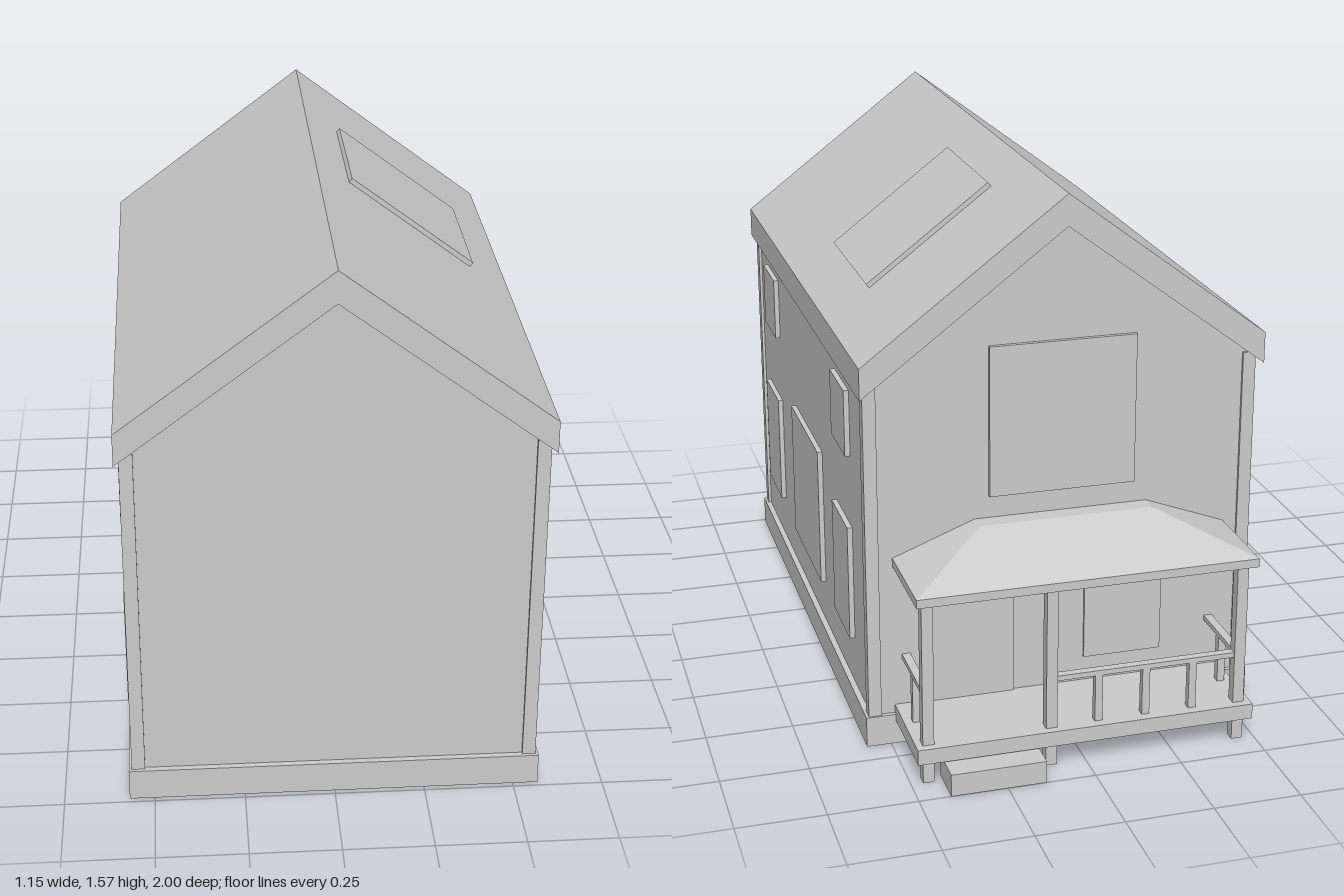
import * as THREE from 'three';
import { ConvexGeometry } from 'three/addons/geometries/ConvexGeometry.js';

export function createModel() {
  const house = new THREE.Group();
  house.name = 'house';
  const mat = new THREE.MeshStandardMaterial({ color: 0xcccccc, flatShading: true });

  function add(name, geo, parent = house) {
    const m = new THREE.Mesh(geo, mat);
    m.name = name;
    parent.add(m);
    return m;
  }
  // Box given by its min and max on each axis
  function box(name, [x0, x1], [y0, y1], [z0, z1], parent = house) {
    const m = add(name, new THREE.BoxGeometry(x1 - x0, y1 - y0, z1 - z0), parent);
    m.position.set((x0 + x1) / 2, (y0 + y1) / 2, (z0 + z1) / 2);
    return m;
  }
  // Outline in x/y pushed along z from z0 to z1
  function prism(name, pts, z0, z1) {
    const shape = new THREE.Shape(pts.map(p => new THREE.Vector2(...p)));
    const m = add(name, new THREE.ExtrudeGeometry(shape, { depth: z1 - z0, bevelEnabled: false }));
    m.position.z = z0;
    return m;
  }
  const span = (s, a, b) => (s > 0 ? [a, b] : [-b, -a]);

  // Foundation skirt, open underneath, with a narrow ledge around the top
  for (const s of [1, -1]) {
    box('foundationSide', span(s, 0.564, 0.57), [0, 0.09], [-0.675, 0.985]);
    box('foundationLedge', span(s, 0.54, 0.57), [0.084, 0.09], [-0.675, 0.985]);
  }
  for (const [z0, z1, l0, l1] of [[0.979, 0.985, 0.95, 0.985], [-0.675, -0.669, -0.675, -0.645]]) {
    box('foundationEnd', [-0.564, 0.564], [0, 0.09], [z0, z1]);
    box('foundationEndLedge', [-0.54, 0.54], [0.084, 0.09], [l0, l1]);
  }

  // Hollow walls: two gables and two sides
  const gable = [[-0.553, 0.09], [0.553, 0.09], [0.553, 1.08], [0, 1.5], [-0.553, 1.08]];
  prism('frontWall', gable, 0.957, 0.967);
  prism('backWall', gable, -0.662, -0.652);
  for (const s of [1, -1]) {
    box('sideWall', span(s, 0.543, 0.553), [0.09, 1.08], [-0.655, 0.96]);
    // Corner boards
    box('frontCornerBoard', span(s, 0.525, 0.562), [0.09, 1.07], [0.94, 0.975]);
    box('backCornerBoard', span(s, 0.525, 0.562), [0.09, 1.07], [-0.67, -0.635]);
    // Side windows as [y range, z range]
    for (const [y, z] of [
      [[0.795, 0.99], [0.63, 0.82]],
      [[0.795, 0.99], [-0.455, -0.265]],
      [[0.235, 0.58], [0.625, 0.845]],
      [[0.235, 0.58], [-0.46, -0.245]],
      [[0.225, 0.65], [-0.04, 0.38]],
    ]) box('sideWindow', span(s, 0.55, 0.568), y, z);
  }

  // Windows and door on the back wall
  box('backUpperWindow', [-0.21, 0.21], [0.72, 1.155], [-0.674, -0.655]);
  box('backLowerWindow', [-0.3, -0.07], [0.19, 0.5], [-0.67, -0.655]);
  box('backDoor', [0.14, 0.39], [0.115, 0.51], [-0.67, -0.655]);

  // Gabled roof slab
  prism('roof', [
    [-0.575, 1.045], [0, 1.48], [0.575, 1.045],
    [0.575, 1.135], [0, 1.57], [-0.575, 1.135],
  ], -0.7, 1);

  // Skylight lying on the right-hand slope
  const skylight = add('skylight', new THREE.BoxGeometry(0.445, 0.03, 0.45));
  skylight.position.set(0.275, 1.361, -0.065);
  skylight.rotation.z = -Math.atan2(0.435, 0.575);

  // Back porch
  const porch = new THREE.Group();
  porch.name = 'porch';
  house.add(porch);
  box('porchDeck', [-0.485, 0.485], [0.07, 0.115], [-0.935, -0.66], porch);
  box('porchStep', [0.14, 0.41], [0, 0.065], [-1, -0.88], porch);
  for (const x of [-0.45, 0.1, 0.45])
    box('porchPost', [x - 0.016, x + 0.016], [0, 0.545], [-0.912, -0.88], porch);

  // Railings: one along the back, one at each end
  box('backRail', [-0.45, 0.1], [0.255, 0.27], [-0.908, -0.884], porch);
  for (let i = 1; i <= 3; i++) {
    const x = -0.45 + i * 0.1375;
    box('backBaluster', [x - 0.011, x + 0.011], [0.115, 0.257], [-0.907, -0.885], porch);
  }
  for (const s of [1, -1]) {
    box('endRail', span(s, 0.438, 0.462), [0.255, 0.27], [-0.885, -0.66], porch);
    box('endBaluster', span(s, 0.439, 0.461), [0.115, 0.257], [-0.779, -0.757], porch);
  }

  // Hipped porch roof with a flat underside
  const pts = [];
  for (const x of [-1, 1]) {
    for (const z of [-0.94, -0.66])
      for (const y of [0.54, 0.565]) pts.push(new THREE.Vector3(x * 0.485, y, z));
    for (const z of [-0.715, -0.66]) pts.push(new THREE.Vector3(x * 0.25, 0.655, z));
  }
  add('porchRoof', new ConvexGeometry(pts), porch);

  return house;
}
